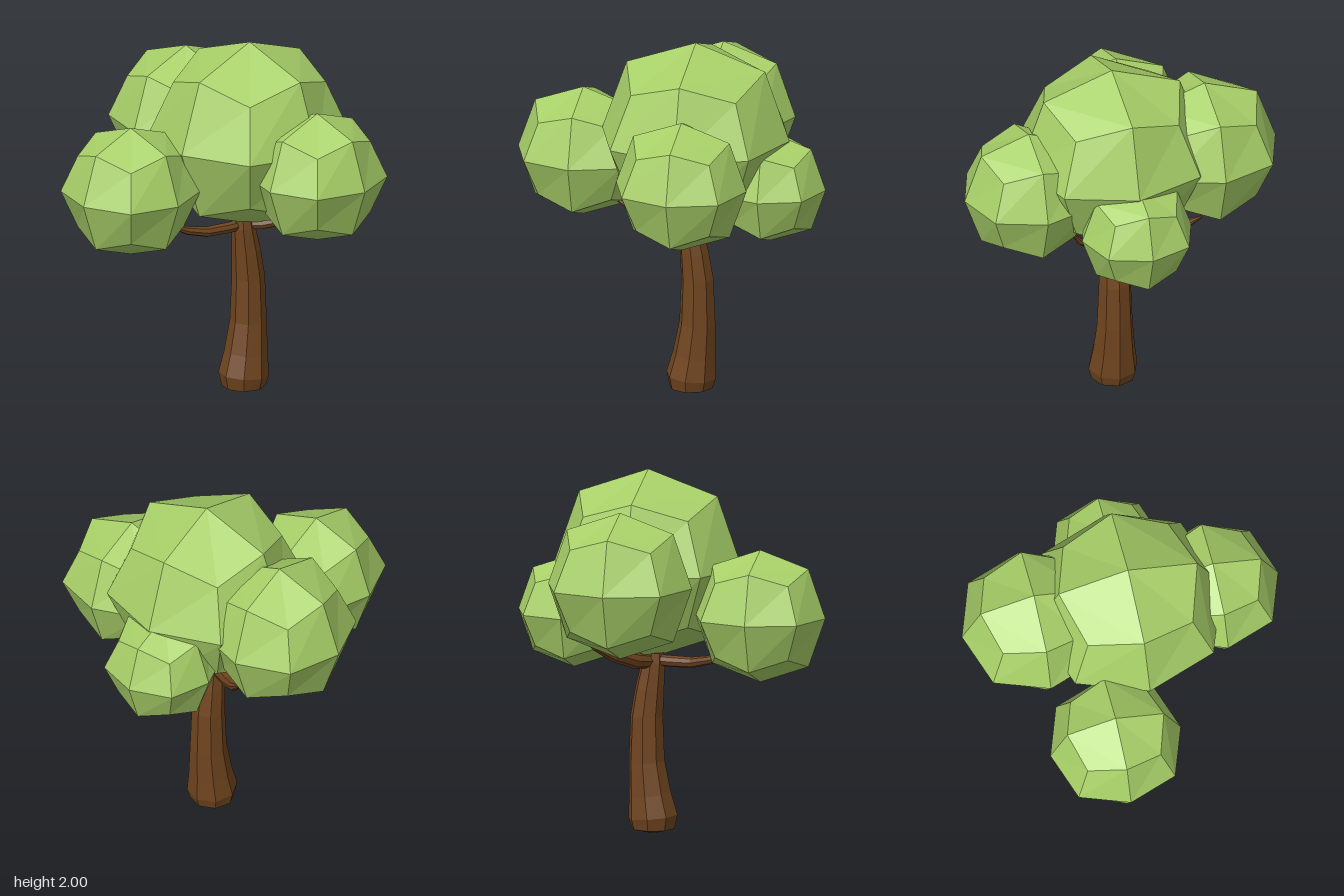
import * as THREE from 'three';

const SIDES = 8;

// Tapered limb lofted through rows of [x, y, z, radius]; a zero radius closes an end
function limbGeometry(rows) {
  const pts = rows.map(([x, y, z]) => new THREE.Vector3(x, y, z));
  const pos = [], index = [];
  pts.forEach((p, i) => {
    const t = pts[Math.min(i + 1, pts.length - 1)].clone().sub(pts[Math.max(i - 1, 0)]).normalize();
    const ref = Math.abs(t.y) > 0.85 ? new THREE.Vector3(0, 0, 1) : new THREE.Vector3(0, 1, 0);
    const u = ref.cross(t).normalize();
    const v = t.clone().cross(u);
    for (let j = 0; j < SIDES; j++) {
      const a = (j / SIDES) * Math.PI * 2;
      const q = p.clone().addScaledVector(u, Math.cos(a) * rows[i][3]).addScaledVector(v, Math.sin(a) * rows[i][3]);
      pos.push(q.x, q.y, q.z);
      if (i > 0) {
        const k = (j + 1) % SIDES, lo = (i - 1) * SIDES, hi = i * SIDES;
        index.push(lo + j, lo + k, hi + k, lo + j, hi + k, hi + j);
      }
    }
  });
  const g = new THREE.BufferGeometry();
  g.setAttribute('position', new THREE.Float32BufferAttribute(pos, 3));
  g.setIndex(index);
  g.computeVertexNormals();
  return g;
}

// Rounded cube: edge midpoints and corners are pulled in toward a ball
function leafGeometry() {
  const g = new THREE.BoxGeometry(2, 2, 2, 2, 2, 2);
  const p = g.attributes.position;
  const pull = [0, 1, 0.74, 0.56];
  for (let i = 0; i < p.count; i++) {
    const c = [p.getX(i), p.getY(i), p.getZ(i)];
    const s = pull[c.filter((n) => Math.abs(n) > 0.5).length];
    p.setXYZ(i, c[0] * s, c[1] * s, c[2] * s);
  }
  g.computeVertexNormals();
  return g;
}

export function createModel() {
  const tree = new THREE.Group();
  tree.name = 'tree';
  const bark = new THREE.MeshStandardMaterial({ color: 0x70451f, flatShading: true });
  bark.name = 'bark brown';
  const leaf = new THREE.MeshStandardMaterial({ color: 0xa8d068, flatShading: true });
  leaf.name = 'leaf green';

  // Trunk and branches
  const limbs = {
    trunk: [
      [0.13, 0.005, 0.02, 0], [0.13, 0.035, 0.02, 0.12], [0.13, 0.1, 0.02, 0.137],
      [0.147, 0.22, 0.02, 0.118], [0.165, 0.4, 0.02, 0.1], [0.165, 0.65, 0.02, 0.09],
      [0.148, 0.8, 0.02, 0.08], [0.127, 0.95, 0.02, 0.064], [0.125, 1.0, 0.02, 0.055], [0.125, 1.0, 0.02, 0],
    ],
    rightBranch: [
      [0.13, 0.96, 0.02, 0.03], [0.03, 0.957, 0.0, 0.032], [-0.1, 0.96, -0.03, 0.03],
      [-0.21, 0.985, -0.07, 0.024], [-0.31, 1.03, -0.1, 0.01], [-0.315, 1.033, -0.1, 0],
    ],
    frontBranch: [
      [0.13, 0.96, 0.02, 0.03], [0.19, 0.965, 0.1, 0.032], [0.26, 0.99, 0.19, 0.028],
      [0.31, 1.04, 0.26, 0.02], [0.33, 1.1, 0.3, 0.008], [0.332, 1.105, 0.302, 0],
    ],
    backBranch: [
      [0.13, 0.95, 0.02, 0.04], [0.2, 0.97, -0.1, 0.045], [0.29, 1.02, -0.22, 0.04],
      [0.37, 1.08, -0.31, 0.028], [0.43, 1.15, -0.385, 0.008], [0.432, 1.153, -0.388, 0],
    ],
  };
  for (const [name, rows] of Object.entries(limbs)) {
    const m = new THREE.Mesh(limbGeometry(rows), bark);
    m.name = name;
    tree.add(m);
  }

  // Foliage clumps: centre and radius
  const clumps = {
    crownFoliage: [0.16, 1.48, 0.035, 0.52],
    frontFoliage: [0.195, 1.34, 0.515, 0.362],
    backFoliage: [0.19, 1.443, -0.48, 0.4],
    rightFoliage: [-0.52, 1.26, -0.195, 0.362],
    leftFoliage: [0.57, 1.21, 0.02, 0.308],
  };
  const ball = leafGeometry();
  for (const [name, [x, y, z, r]] of Object.entries(clumps)) {
    const m = new THREE.Mesh(ball, leaf);
    m.name = name;
    m.position.set(x, y, z);
    m.scale.setScalar(r);
    tree.add(m);
  }
  return tree;
}
